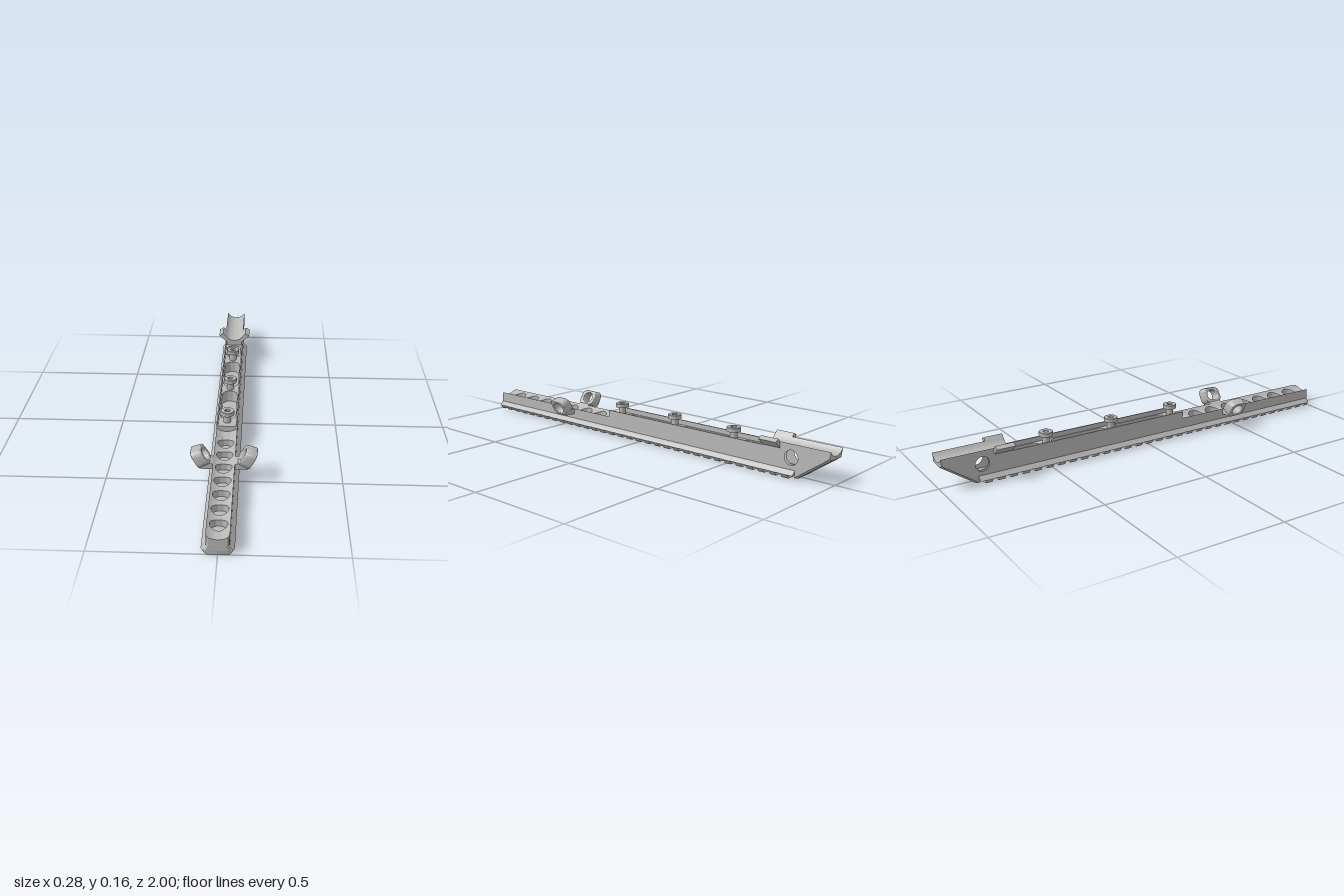
import * as THREE from 'three';
import { toCreasedNormals } from 'three/addons/utils/BufferGeometryUtils.js';

const metal = new THREE.MeshStandardMaterial({ color: 0xb8b8b8 });
metal.name = 'grey metal';

const W = 0.046; // half width of the body
const deckY = (x) => 0.138 - Math.sqrt(0.07 ** 2 - x * x);
const saddleY = (x) => 0.177 - Math.sqrt(0.055 ** 2 - x * x);

function add(group, name, geometry, crease = 0.5) {
  const mesh = new THREE.Mesh(toCreasedNormals(geometry, crease), metal);
  mesh.name = name;
  group.add(mesh);
}

function box(group, name, x0, x1, y0, y1, z0, z1) {
  const g = new THREE.BoxGeometry(x1 - x0, y1 - y0, z1 - z0);
  g.translate((x0 + x1) / 2, (y0 + y1) / 2, (z0 + z1) / 2);
  add(group, name, g);
}

const shapeOf = (pts) => new THREE.Shape(pts.map((p) => new THREE.Vector2(p[0], p[1])));
const mirrored = (half) => [...half, ...half.map(([x, y]) => [-x, y]).reverse()];

// Cross-section in x and y, run along z; the front end may be rounded inward
function prism(group, name, pts, z0, z1, rounded = false) {
  const g = new THREE.ExtrudeGeometry(shapeOf(pts), { depth: z1 - z0, steps: rounded ? 8 : 1, bevelEnabled: false });
  g.translate(0, 0, z0);
  if (rounded) {
    const p = g.attributes.position;
    for (let i = 0; i < p.count; i++) {
      const t = Math.max(0, (p.getZ(i) - 0.98) / 0.02);
      p.setX(i, p.getX(i) * (1 - 0.25 * (1 - Math.sqrt(Math.max(0, 1 - t * t)))));
      if (p.getY(i) > 0.06) p.setY(i, deckY(p.getX(i)));
    }
  }
  add(group, name, g);
}

// Stretch of body with a round-ended pocket sunk into its top
function pocketCell(group, name, z0, z1, slot0, slot1, r, topY, floorY) {
  const mid = (slot0 + slot1) / 2, L = (slot1 - slot0) / 2 - r;
  const outline = [], N = 24;
  for (const side of [1, -1]) {
    for (let k = 0; k <= N; k++) {
      const a = (k / N) * Math.PI + (side < 0 ? Math.PI : 0);
      const c = Math.cos(a), s = k % N === 0 ? 0 : Math.sin(a);
      const m = Math.max(Math.abs(c), Math.abs(s));
      const edge = mid + side * L;
      const reach = side > 0 ? z1 - edge : edge - z0;
      outline.push({ in: [r * c, edge + r * s], out: [(c / m) * W, edge + (s / m) * reach] });
    }
  }
  const rings = [
    outline.map(() => [0, floorY, mid]),
    outline.map((o) => [o.in[0], floorY, o.in[1]]),
  ];
  for (let i = 0; i <= 4; i++) {
    rings.push(outline.map((o) => {
      const x = THREE.MathUtils.lerp(o.in[0], o.out[0], i / 4);
      return [x, topY(x), THREE.MathUtils.lerp(o.in[1], o.out[1], i / 4)];
    }));
  }
  rings.push(outline.map((o) => [o.out[0], 0.036, o.out[1]]));
  const pos = [];
  const n = outline.length;
  for (let i = 0; i + 1 < rings.length; i++) {
    for (let k = 0; k < n; k++) {
      const j = (k + 1) % n;
      const a = rings[i][k], b = rings[i + 1][k], c = rings[i + 1][j], d = rings[i][j];
      pos.push(...a, ...c, ...b, ...a, ...d, ...c);
    }
  }
  const g = new THREE.BufferGeometry();
  g.setAttribute('position', new THREE.Float32BufferAttribute(pos, 3));
  add(group, name, g, 0.6);
}

// Side profile run across x, with a cross hole, a trough on top and chamfered slope edges
function tailSlice(group, x0, x1, notched) {
  const pts = [[-0.68, 0.03], [-0.68, 0.145], [-1, 0.145], [-1, 0.11]];
  if (notched) pts.push([-0.9625, 0.084], [-0.9425, 0.113], [-0.8675, 0.06], [-0.8875, 0.031]);
  pts.push([-0.85, 0.005], [-0.84, 0.005], [-0.83, 0.03]);
  const shape = shapeOf(pts.map(([z, y]) => [-z, y]));
  shape.holes.push(new THREE.Path().absarc(0.82, 0.088, 0.032, 0, Math.PI * 2, true));
  const g = new THREE.ExtrudeGeometry(shape, { depth: x1 - x0, steps: notched ? 12 : 4, bevelEnabled: false, curveSegments: 20 });
  g.rotateY(Math.PI / 2);
  g.translate(x0, 0, 0);
  const p = g.attributes.position;
  for (let i = 0; i < p.count; i++) {
    const x = p.getX(i), y = p.getY(i), z = p.getZ(i);
    const fromSlope = Math.abs((z + 0.85) * 0.573 + (y - 0.005) * 0.819);
    const chamfer = Math.max(0, Math.abs(x) - 0.038);
    if (y > 0.144) p.setY(i, saddleY(x));
    else if (fromSlope < 0.001) p.setXYZ(i, x, y + chamfer * 0.82, z + chamfer * 0.573);
  }
  add(group, 'tailBlock', g, 0.4);
}

function roundedRect(w, h, r) {
  const s = new THREE.Shape();
  const corners = [[1, 1, 0], [-1, 1, 1], [-1, -1, 2], [1, -1, 3]];
  for (const [a, b, q] of corners) {
    s.absarc(a * (w / 2 - r), b * (h / 2 - r), r, q * Math.PI / 2, (q + 1) * Math.PI / 2, false);
  }
  return s;
}

// Pierced ear: a ring block fitted between four corners of its front outline
function ear(group, s) {
  const shape = roundedRect(0.074, 0.082, 0.022);
  shape.holes.push(new THREE.Path().absarc(0, 0, 0.032, 0, Math.PI * 2, true));
  const g = new THREE.ExtrudeGeometry(shape, {
    depth: 0.036, bevelEnabled: true, bevelSize: 0.004, bevelThickness: 0.004, bevelSegments: 3, curveSegments: 14,
  });
  g.translate(0, 0, -0.018);
  const [innerLow, innerHigh, outerLow, outerHigh] = [[0.057, 0.086], [0.099, 0.147], [0.102, 0.059], [0.142, 0.132]]
    .map((c) => new THREE.Vector2(...c));
  const p = g.attributes.position;
  for (let i = 0; i < p.count; i++) {
    const u = p.getX(i) / 0.082 + 0.5, t = p.getZ(i) / 0.044 + 0.5;
    const at = innerLow.clone().lerp(innerHigh, u).lerp(outerLow.clone().lerp(outerHigh, u), t);
    p.setXYZ(i, s * at.x, at.y, 0.47 + s * p.getY(i));
  }
  add(group, 'ear', g, 0.7);
  const neck = [[0.04, 0.06], [0.1, 0.06], [0.104, 0.065], [0.06, 0.089], [W, 0.084], [0.04, 0.08]];
  prism(group, 'earNeck', neck.map(([x, y]) => [s * x, y]), 0.438, 0.502);
}

export function createModel() {
  const model = new THREE.Group();
  model.name = 'mountingRail';

  // Dovetail rail and its cross-cut teeth
  const flange = mirrored([[0.064, 0.018], [W, 0.037]]);
  prism(model, 'railFlange', flange, -0.84, 0.96);
  prism(model, 'railFlangeFront', flange, 0.96, 1, true);
  const tooth = mirrored([[0.051, 0], [0.064, 0.018]]);
  const pitch = 0.0575;
  for (let i = 0; i < 32; i++) {
    const z = 1 - i * pitch;
    prism(model, 'railTooth', tooth, z - 0.031, z, i === 0);
  }

  // Front deck: hollow top with a row of round pockets
  const section = [[-W, 0.036], [W, 0.036]];
  for (let i = 0; i <= 12; i++) {
    const x = W - (i / 12) * 2 * W;
    section.push([x, deckY(x)]);
  }
  prism(model, 'deckFrontEnd', section, 0.96, 1, true);
  prism(model, 'deckRearEnd', section, 0.2, 0.26);
  for (let i = 0; i < 7; i++) {
    const z = 0.31 + i * 0.1;
    pocketCell(model, 'deckPocket', z - 0.05, z + 0.05, z - 0.035, z + 0.035, 0.035, deckY, 0.04);
  }

  // Raised channel with long slots between side walls
  const flat = () => 0.095;
  pocketCell(model, 'channelSlot', -0.68, -0.5, -0.67, -0.53, 0.035, flat, 0.04);
  pocketCell(model, 'channelSlot', -0.5, -0.17, -0.47, -0.195, 0.035, flat, 0.04);
  pocketCell(model, 'channelSlot', -0.17, 0.14, -0.145, 0.13, 0.035, flat, 0.04);
  box(model, 'channelFront', -W, W, 0.036, 0.095, 0.14, 0.2);
  box(model, 'leftChannelWall', 0.04, W, 0.095, 0.117, -0.68, 0.2);
  box(model, 'rightChannelWall', -W, -0.04, 0.095, 0.117, -0.68, 0.2);

  // Socket-head screws
  const headProfile = [[0, 0.133], [0.031, 0.133], [0.031, 0.15], [0.029, 0.152], [0.013, 0.152], [0.013, 0.142], [0, 0.142]];
  for (const z of [0.155, -0.17, -0.5]) {
    const screw = new THREE.Group();
    screw.name = 'screw';
    screw.position.z = z;
    const shaft = new THREE.CylinderGeometry(0.017, 0.017, 0.05, 20);
    shaft.translate(0, 0.115, 0);
    add(screw, 'screwShaft', shaft);
    add(screw, 'screwHead', new THREE.LatheGeometry(headProfile.map((p) => new THREE.Vector2(...p)), 28));
    model.add(screw);
  }

  // Tail block, recessed behind its sloping end
  tailSlice(model, -W, -0.03, false);
  tailSlice(model, -0.03, 0.03, true);
  tailSlice(model, 0.03, W, false);

  // Sloping end plate with a round opening, covering the recess
  const plate = shapeOf([[-0.036, -0.09], [0.036, -0.09], [0.036, 0.09], [-0.036, 0.09]]);
  plate.holes.push(new THREE.Path().absarc(0, 0, 0.028, 0, Math.PI * 2, true));
  const plateGeo = new THREE.ExtrudeGeometry(plate, { depth: 0.005, bevelEnabled: false, curveSegments: 20 });
  plateGeo.translate(0, 0, -0.001);
  plateGeo.applyMatrix4(new THREE.Matrix4().makeBasis(
    new THREE.Vector3(1, 0, 0), new THREE.Vector3(0, 0.573, -0.819), new THREE.Vector3(0, 0.819, 0.573),
  ).setPosition(0, 0.0575, -0.925));
  add(model, 'endPlate', plateGeo);

  // Upswept wings on the tail block and pierced ears on the front deck
  const wing = [[0.04, 0.115], [0.045, 0.118], [0.079, 0.149], [0.059, 0.16], [0.045, 0.1455], [0.04, 0.139]];
  for (const s of [-1, 1]) {
    prism(model, 'tailWing', wing.map(([x, y]) => [s * x, y]), -0.765, -0.68);
    ear(model, s);
  }

  return model;
}
